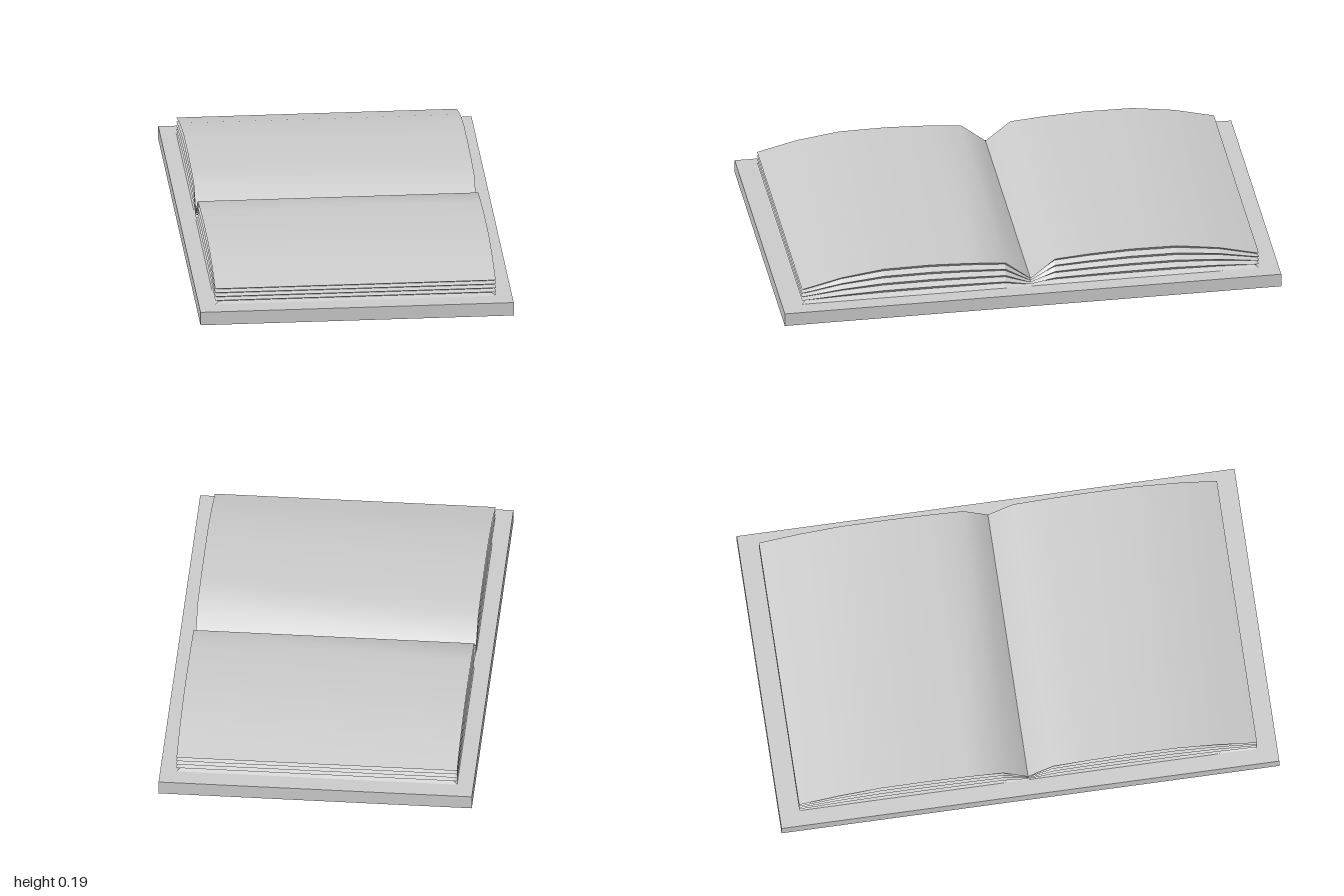
import * as THREE from 'three';

const COVER_TOP = 0.055, HALF_WIDTH = 0.56, GROOVE = 0.016, SHEAVES = 4;
// page curve from the spine to the outer edge: [z, y]
const CURVE = [[0, 0.09], [0.1, 0.17], [0.24, 0.181], [0.4, 0.188], [0.59, 0.186], [0.76, 0.162], [0.92, 0.122]];

function geometryFrom(positions, index) {
  const g = new THREE.BufferGeometry();
  g.setAttribute('position', new THREE.Float32BufferAttribute(positions, 3));
  if (index) g.setIndex(index);
  g.computeVertexNormals();
  return g;
}

// smooth curved top sheet
function topPage() {
  const pos = [], index = [];
  CURVE.forEach(([z, y], i) => {
    pos.push(-HALF_WIDTH, y, z, HALF_WIDTH, y, z);
    if (i) {
      const a = 2 * i - 2;
      index.push(a, a + 2, a + 3, a, a + 3, a + 1);
    }
  });
  return geometryFrom(pos, index);
}

// outline of the page block at one height, running round its three open sides
function outline(t, inset) {
  const last = CURVE.length - 1;
  const side = (s) => CURVE.map(([z, y], i) => [
    s * (HALF_WIDTH - inset),
    COVER_TOP + t * (y - COVER_TOP),
    i === last ? z - inset : z,
  ]);
  return [...side(-1), ...side(1).reverse()];
}

// ridged edges: each sheaf juts out, with a groove between sheaves
function pageEdges() {
  const steps = SHEAVES * 2, pos = [];
  for (let k = 0; k < steps; k++) {
    const low = outline(k / steps, k % 2 ? GROOVE : 0);
    const high = outline((k + 1) / steps, k % 2 ? 0 : GROOVE);
    for (let i = 0; i < low.length - 1; i++) {
      pos.push(...low[i], ...low[i + 1], ...high[i + 1], ...low[i], ...high[i + 1], ...high[i]);
    }
  }
  return geometryFrom(pos);
}

export function createModel() {
  const book = new THREE.Group();
  book.name = 'openBook';
  const material = new THREE.MeshStandardMaterial({ color: 0xcccccc });
  const add = (parent, geometry, name) => {
    const mesh = new THREE.Mesh(geometry, material);
    mesh.name = name;
    parent.add(mesh);
    return mesh;
  };

  // flat cover
  add(book, new THREE.BoxGeometry(1.25, COVER_TOP, 2), 'cover').position.y = COVER_TOP / 2;

  // two page blocks meeting at the spine
  const top = topPage(), edges = pageEdges();
  for (const [name, turn] of [['frontPages', 0], ['backPages', Math.PI]]) {
    const block = new THREE.Group();
    block.name = name;
    block.rotation.y = turn;
    add(block, top, 'topPage');
    add(block, edges, 'pageEdges');
    book.add(block);
  }
  return book;
}
